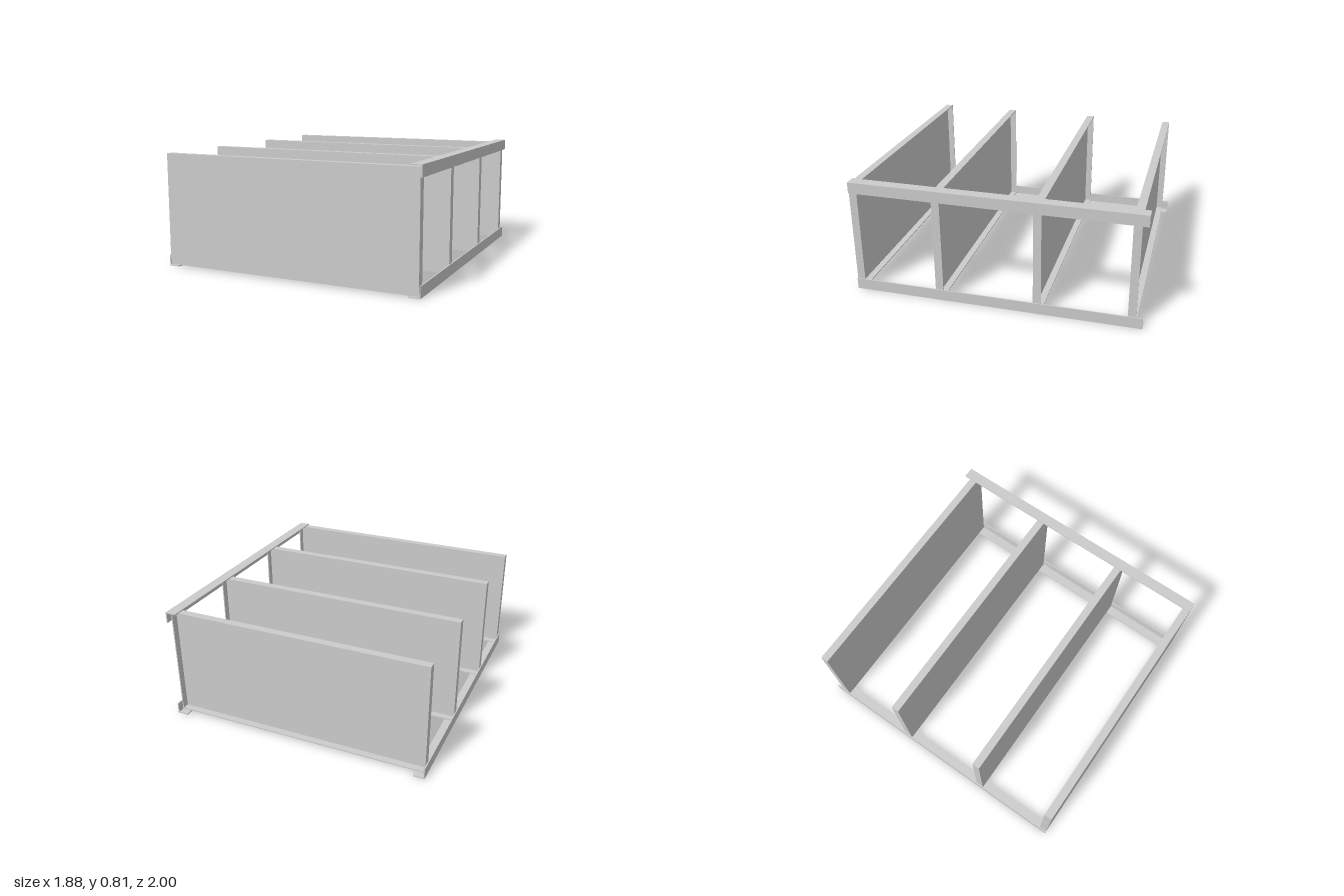
import * as THREE from 'three';

const material = new THREE.MeshStandardMaterial({ color: 0xcccccc, flatShading: true });

// Box given by its lower and upper corners
function slab(name, [x0, y0, z0], [x1, y1, z1]) {
  const mesh = new THREE.Mesh(new THREE.BoxGeometry(x1 - x0, y1 - y0, z1 - z0), material);
  mesh.name = name;
  mesh.position.set((x0 + x1) / 2, (y0 + y1) / 2, (z0 + z1) / 2);
  return mesh;
}

// L-shaped post running along z; sx, sy point from the outer corner inwards
function anglePost(name, x, y, sx, sy) {
  const w = 0.078, t = 0.008;
  const points = [[0, 0], [w, 0], [w, t], [t, t], [t, w], [0, w]]
    .map(([a, b]) => new THREE.Vector2(x + sx * a, y + sy * b));
  const geometry = new THREE.ExtrudeGeometry(new THREE.Shape(points), { depth: 2, bevelEnabled: false });
  geometry.translate(0, 0, -1);
  const mesh = new THREE.Mesh(geometry, material);
  mesh.name = name;
  return mesh;
}

// Sheet-metal shelf: a panel facing +z with a flange folded back on each edge
function shelf(name, front) {
  const group = new THREE.Group();
  group.name = name;
  const x = 0.928, y0 = 0.013, y1 = 0.797, t = 0.008, back = front - 0.055, inner = front - t;
  group.add(
    slab('shelfPanel', [-x, y0, inner], [x, y1, front]),
    slab('bottomFlange', [-x, y0, back], [x, y0 + t, inner]),
    slab('topFlange', [-x, y1 - t, back], [x, y1, inner]),
    slab('rightFlange', [-x, y0 + t, back], [-x + t, y1 - t, inner]),
    slab('leftFlange', [x - t, y0 + t, back], [x, y1 - t, inner]),
  );
  return group;
}

export function createModel() {
  const model = new THREE.Group();
  model.name = 'shelvingUnit';

  // Three corner posts; the upper right corner has none
  model.add(
    anglePost('lowerRightPost', -0.938, 0, 1, 1),
    anglePost('lowerLeftPost', 0.938, 0, -1, 1),
    anglePost('upperLeftPost', 0.938, 0.81, -1, -1),
  );

  // Four shelves
  [1, 0.416, -0.27, -0.902].forEach((z, i) => model.add(shelf(`shelf${i + 1}`, z)));
  return model;
}
